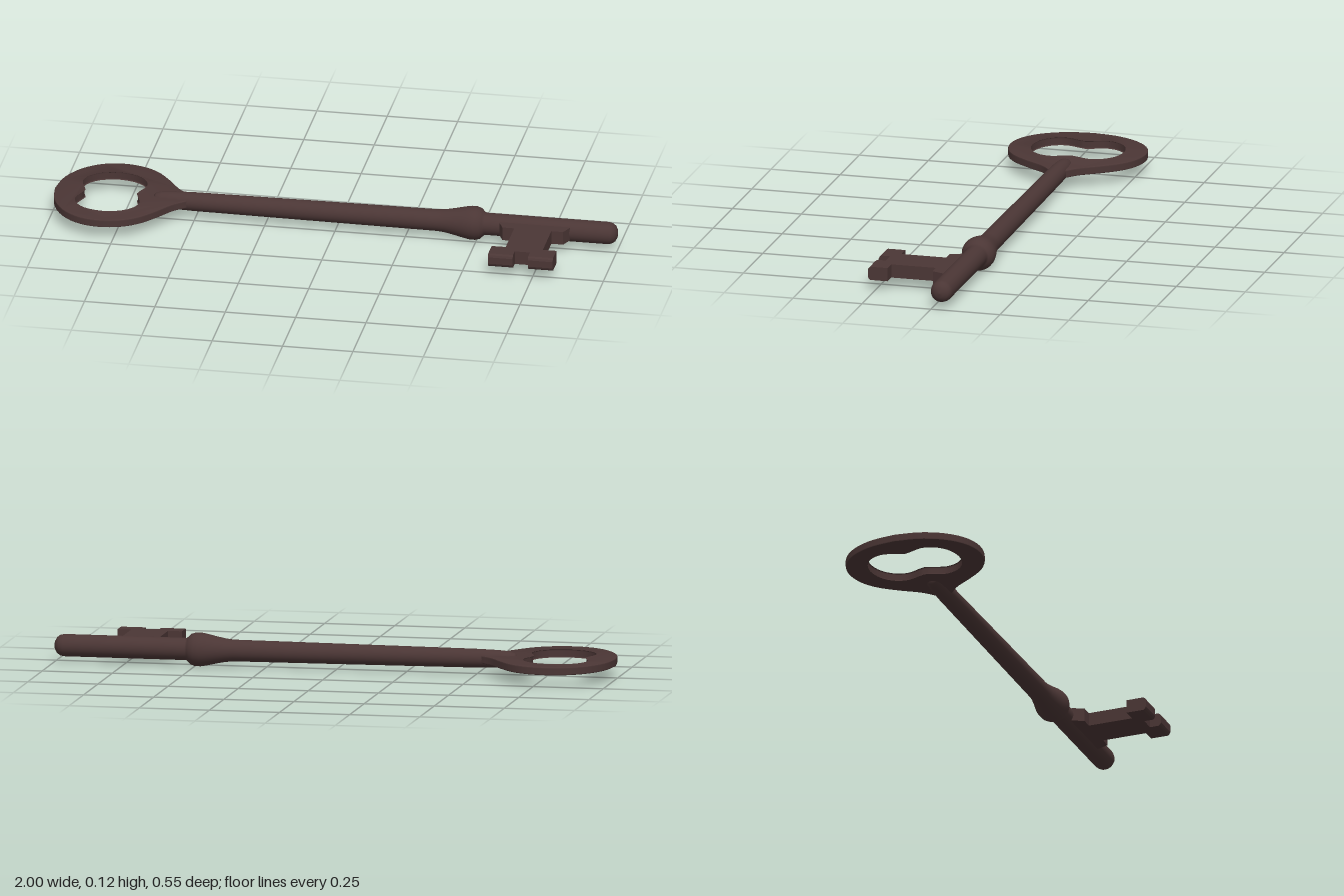
import * as THREE from 'three';
import { toCreasedNormals } from 'three/addons/utils/BufferGeometryUtils.js';

const AXIS_Y = 0.06, AXIS_Z = -0.03;

const vectors = points => points.map(p => new THREE.Vector2(...p));

// Smooth closed outline from one half, mirrored across the key's axis
function mirroredOutline(half, tip = []) {
  const curve = [...new THREE.SplineCurve(vectors(half)).getPoints(32), ...vectors(tip)];
  const back = curve.slice(1, -1).reverse().map(p => new THREE.Vector2(p.x, -p.y));
  return [...curve, ...back];
}

export function createModel() {
  const group = new THREE.Group();
  const iron = new THREE.MeshStandardMaterial({ color: 0x4b3635, side: THREE.DoubleSide });
  iron.name = 'dark iron';

  const add = (name, geometry) => {
    const mesh = new THREE.Mesh(geometry, iron);
    mesh.name = name;
    mesh.position.set(0, AXIS_Y, AXIS_Z);
    group.add(mesh);
  };

  // Bow: teardrop ring with a two-lobed opening and softened edges
  const bow = new THREE.Shape(mirroredOutline([
    [-1, 0], [-0.985, 0.095], [-0.94, 0.178], [-0.875, 0.23], [-0.8, 0.247], [-0.725, 0.233],
    [-0.665, 0.195], [-0.615, 0.135], [-0.57, 0.07], [-0.53, 0.034],
  ], [[-0.5, 0]]));
  bow.holes.push(new THREE.Path(mirroredOutline([
    [-0.895, 0], [-0.903, 0.025], [-0.913, 0.05], [-0.918, 0.08], [-0.903, 0.122],
    [-0.862, 0.157], [-0.8, 0.171], [-0.738, 0.157], [-0.697, 0.122], [-0.682, 0.08],
    [-0.687, 0.05], [-0.697, 0.025], [-0.705, 0],
  ])));
  const bowGeometry = new THREE.ExtrudeGeometry(bow, {
    depth: 0.018, bevelSize: 0.004, bevelThickness: 0.005, bevelOffset: -0.004, bevelSegments: 2,
  });
  bowGeometry.translate(0, 0, -0.009);
  bowGeometry.rotateX(Math.PI / 2);
  add('bow', toCreasedNormals(bowGeometry, 0.7));

  // Shaft: blunt root, slim stem, collar and rounded tip turned as one piece
  const shaft = new THREE.LatheGeometry(vectors([
    [0, -0.65], [0.014, -0.648], [0.022, -0.64], [0.028, -0.62], [0.031, -0.58], [0.033, -0.5],
    [0.036, 0], [0.038, 0.36], [0.041, 0.39], [0.048, 0.425], [0.055, 0.455], [0.059, 0.478],
    [0.059, 0.497], [0.054, 0.513], [0.045, 0.522], [0.039, 0.53],
    [0.039, 0.965], [0.036, 0.98], [0.028, 0.991], [0.015, 0.998], [0, 1],
  ]), 32);
  shaft.rotateZ(-Math.PI / 2);
  add('shaft', shaft);

  // Bit: flared root and narrow neck
  const neck = new THREE.Shape(vectors([
    [0.58, 0], [0.585, 0.035], [0.603, 0.074], [0.645, 0.074], [0.645, 0.236], [0.683, 0.236],
    [0.683, 0.267], [0.737, 0.267], [0.737, 0.236], [0.777, 0.236], [0.777, 0.074],
    [0.819, 0.074], [0.835, 0.035], [0.84, 0],
  ]));
  const neckGeometry = new THREE.ExtrudeGeometry(neck, { depth: 0.048, bevelEnabled: false });
  neckGeometry.translate(0, 0, -0.024);
  neckGeometry.rotateX(Math.PI / 2);
  add('bitNeck', neckGeometry);

  // Two feet of the bit, chamfered along their outer edge, drawn as (z, y) sections
  const foot = new THREE.Shape(vectors([
    [0.236, -0.024], [0.299, -0.024], [0.305, -0.019], [0.308, -0.012],
    [0.308, 0.012], [0.305, 0.019], [0.299, 0.024], [0.236, 0.024],
  ]));
  for (const right of [0.683, 0.825]) {
    const footGeometry = new THREE.ExtrudeGeometry(foot, { depth: 0.088, bevelEnabled: false });
    footGeometry.rotateY(-Math.PI / 2);
    footGeometry.translate(right, 0, 0);
    add('bitFoot', footGeometry);
  }

  return group;
}
